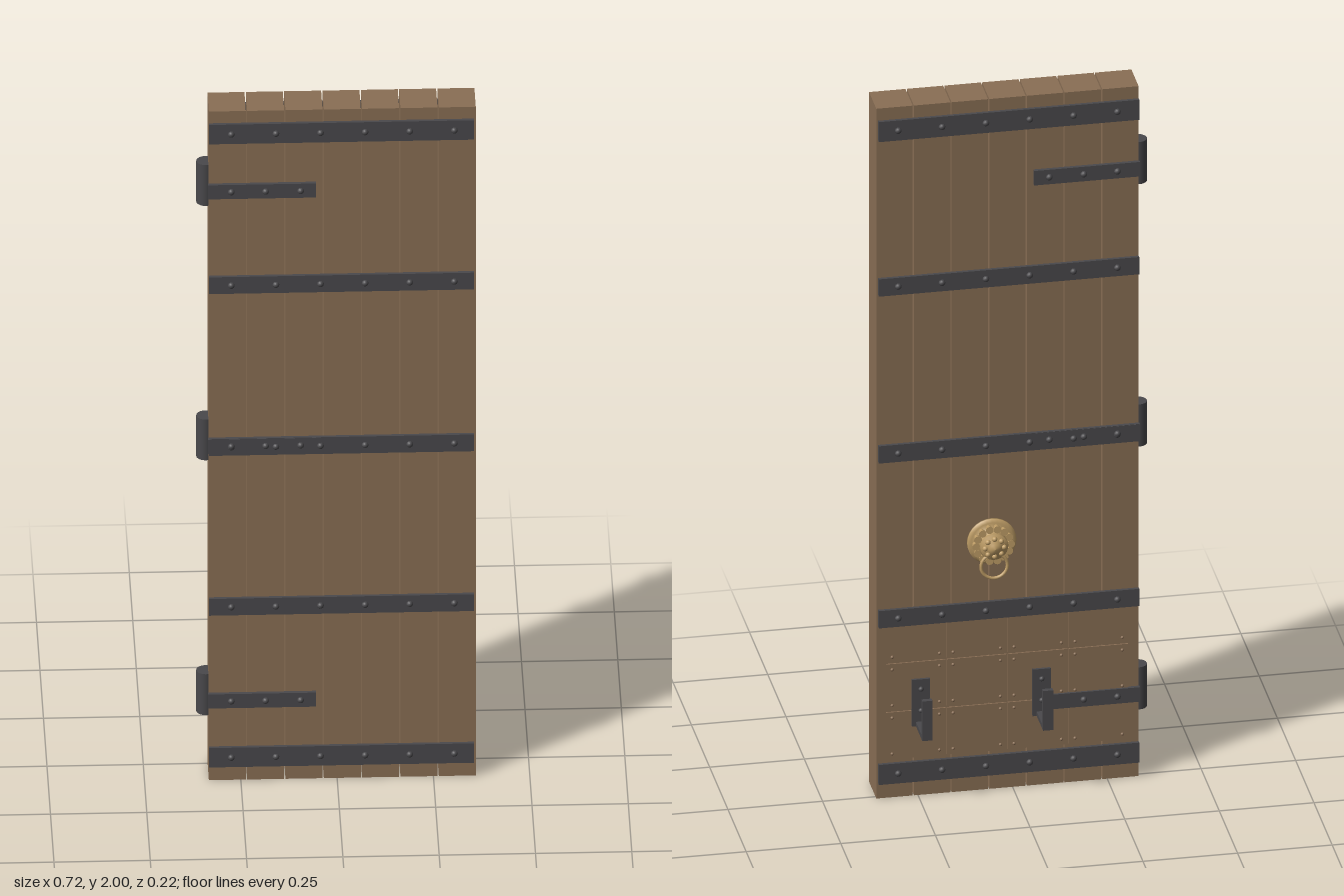
import * as THREE from 'three';

const mat = (name, color) => {
  const m = new THREE.MeshStandardMaterial({ color });
  m.name = name;
  return m;
};

export function createModel() {
  const wood = mat('wood', 0x8a6f55);
  const iron = mat('iron', 0x4a494c);
  const brass = mat('brass', 0xc2a068);
  const door = new THREE.Group();
  door.name = 'plankDoor';

  const FRONT = 0.088, BACK = -0.011; // faces of the planks
  const add = (name, geo, material, x, y, z, parent = door) => {
    const m = new THREE.Mesh(geo, material);
    m.name = name;
    m.position.set(x, y, z);
    parent.add(m);
    return m;
  };
  // box given by its limits on each axis
  const box = (name, material, x0, x1, y0, y1, z0, z1, parent) =>
    add(name, new THREE.BoxGeometry(x1 - x0, y1 - y0, z1 - z0), material,
      (x0 + x1) / 2, (y0 + y1) / 2, (z0 + z1) / 2, parent);

  // seven upright planks with narrow gaps
  for (let i = 0; i < 7; i++) {
    const x = -0.333 + i * 0.0995;
    box('plank', wood, x, x + 0.096, 0, 2, BACK, FRONT);
  }

  // domed rivet, side is +1 for the front and -1 for the back
  const dome = new THREE.SphereGeometry(0.009, 10, 5, 0, Math.PI * 2, 0, Math.PI / 2);
  const rivet = (x, y, z, side, s = 1, material = iron) => {
    const r = add('rivet', dome, material, x, y, z);
    r.rotation.x = side * Math.PI / 2;
    r.scale.setScalar(s);
  };

  // flat iron bar on both faces, with a row of rivets
  const bar = (name, x0, x1, y, h, t, rivets) => {
    for (const side of [1, -1]) {
      const z = side > 0 ? FRONT : BACK;
      box(name, iron, x0, x1, y - h / 2, y + h / 2, Math.min(z, z + side * t), Math.max(z, z + side * t));
      for (const x of rivets) rivet(x, y, z + side * t, side);
    }
  };
  const bandRivets = [0, 1, 2, 3, 4, 5].map(i => -0.275 + i * 0.1158);
  for (const [y, h] of [[0.072, 0.058], [0.522, 0.05], [1.0, 0.05], [1.484, 0.05], [1.936, 0.058]])
    bar('crossBand', -0.333, 0.355, y, h, 0.009, bandRivets);

  // hinges: strap on both faces and an upright barrel
  for (const y of [0.241, 1.003, 1.764]) {
    bar('hingeStrap', -0.335, -0.055, y, 0.042, 0.01, [-0.275, -0.186, -0.095]);
    add('hingeBarrel', new THREE.CylinderGeometry(0.024, 0.024, 0.122, 20), iron, -0.34, y, 0.038);
  }

  // riveted sheet tiles low on the back
  const tw = 0.161, th = 0.14, g = 0.002, inset = 0.018;
  for (let c = 0; c < 4; c++) for (let r = 0; r < 3; r++) {
    const x0 = -0.307 + c * tw, y0 = 0.11 + r * th, x1 = x0 + tw, y1 = y0 + th;
    box('backTile', wood, x0 + g, x1 - g, y0 + g, y1 - g, BACK - 0.004, BACK);
    for (const x of [x0 + inset, x1 - inset]) for (const y of [y0 + inset, y1 - inset])
      rivet(x, y, BACK - 0.004, -1, 0.5, wood);
  }

  // upturned bar brackets on the back
  for (const x of [-0.075, 0.244]) {
    const hook = new THREE.Group();
    hook.name = 'barBracket';
    door.add(hook);
    box('bracketPlate', iron, x - 0.024, x + 0.024, 0.205, 0.34, -0.022, BACK, hook);
    box('bracketArm', iron, x - 0.0135, x + 0.0135, 0.205, 0.218, -0.11, -0.015, hook);
    box('bracketTip', iron, x - 0.0135, x + 0.0135, 0.205, 0.32, -0.11, -0.097, hook);
    for (const y of [0.25, 0.312]) rivet(x, y, -0.022, -1, 0.8);
  }

  // brass knocker on the back, built facing +z and turned round
  const knocker = new THREE.Group();
  knocker.name = 'knocker';
  knocker.position.set(0.056, 0.72, BACK);
  knocker.rotation.y = Math.PI;
  door.add(knocker);
  const profile = [[0, 0], [0.065, 0], [0.065, 0.006], [0.056, 0.011], [0.034, 0.013],
    [0.032, 0.032], [0.038, 0.036], [0.036, 0.042], [0.02, 0.046], [0.013, 0.054], [0, 0.057]];
  const boss = new THREE.LatheGeometry(profile.map(p => new THREE.Vector2(...p)), 28);
  add('rosette', boss, brass, 0, 0, 0, knocker).rotation.x = Math.PI / 2;
  const petal = new THREE.CylinderGeometry(0.0105, 0.006, 0.021, 10);
  const bead = new THREE.SphereGeometry(0.007, 10, 8);
  for (let i = 0; i < 14; i++) {
    const a = i / 14 * Math.PI * 2;
    add('petal', petal, brass, 0.046 * Math.cos(a), 0.046 * Math.sin(a), 0.021, knocker).rotation.x = Math.PI / 2;
  }
  for (let i = 0; i < 8; i++) {
    const a = i / 8 * Math.PI * 2;
    add('bead', bead, brass, 0.025 * Math.cos(a), 0.025 * Math.sin(a), 0.045, knocker);
  }
  add('knockerRing', new THREE.TorusGeometry(0.035, 0.0045, 8, 28), brass, 0, -0.055, 0.039, knocker);

  return door;
}
